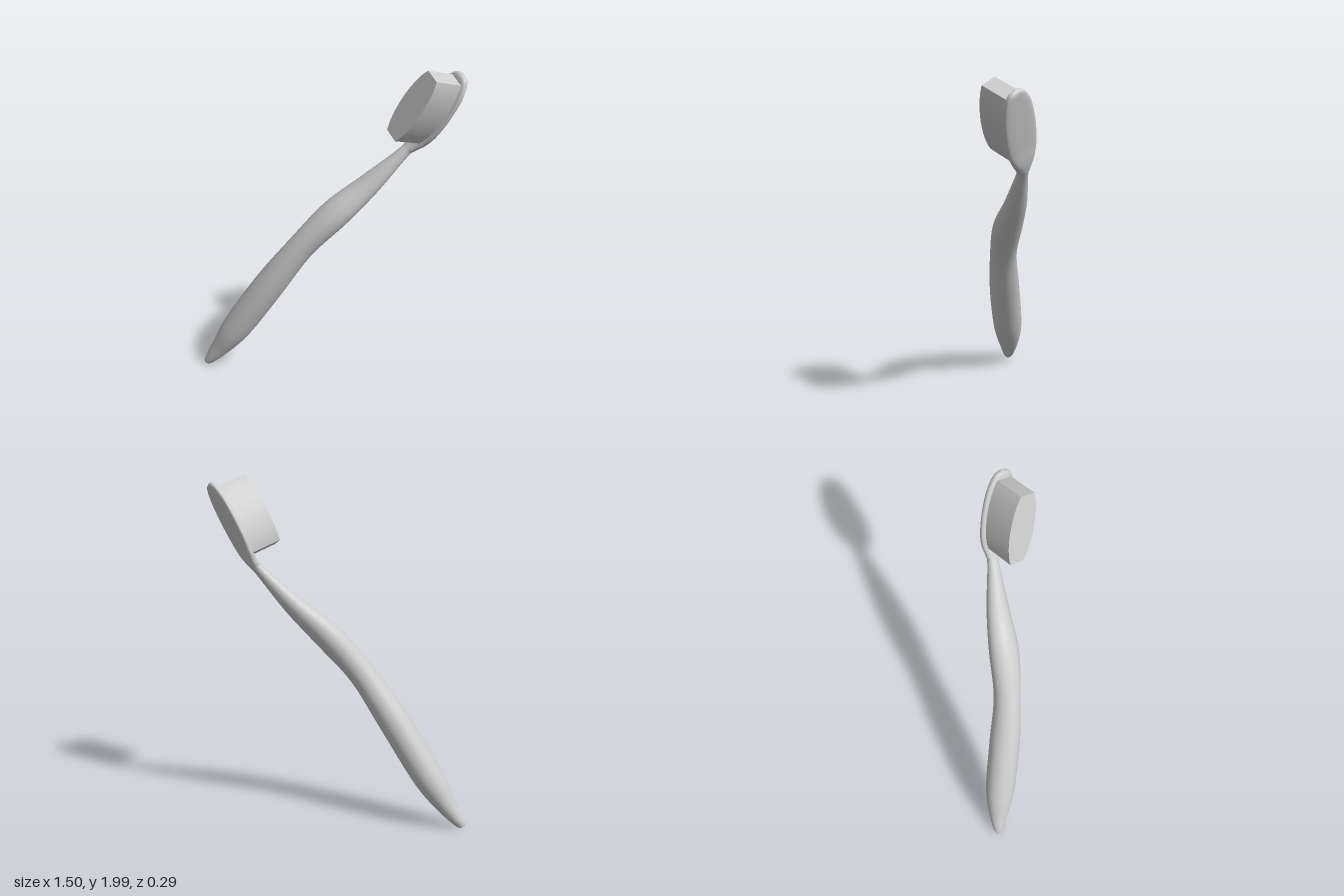
import * as THREE from 'three';
import { ParametricGeometry } from 'three/addons/geometries/ParametricGeometry.js';
import { toCreasedNormals } from 'three/addons/utils/BufferGeometryUtils.js';

// Local frame: x runs along the head, y points to the bristle tips, z is across.
// Stations of the body: [along, offset, half width, half thickness, squareness]
const STATIONS = [
  [-2.14, 0.391, 0.001, 0.001, 1],
  [-2.135, 0.39, 0.025, 0.025, 1],
  [-2.0, 0.366, 0.057, 0.057, 1],
  [-1.794, 0.346, 0.087, 0.087, 1],
  [-1.425, 0.319, 0.09, 0.09, 1],
  [-1.1, 0.28, 0.077, 0.08, 1],
  [-0.806, 0.197, 0.088, 0.083, 1],
  [-0.575, 0.104, 0.067, 0.061, 1],
  [-0.325, 0.02, 0.035, 0.032, 1],
  [-0.265, 0.0, 0.044, 0.026, 0.85],
  [-0.2, -0.01, 0.072, 0.022, 0.7],
  [-0.12, -0.01, 0.094, 0.02, 0.6],
  [0, -0.01, 0.103, 0.02, 0.6],
  [0.12, -0.01, 0.094, 0.02, 0.6],
  [0.19, -0.01, 0.073, 0.02, 0.6],
  [0.235, -0.01, 0.043, 0.018, 0.7],
  [0.252, -0.01, 0.001, 0.001, 1],
];

// Handle, neck and head plate as one smooth loft of rounded sections
function bodyGeometry() {
  const curve = (pick) =>
    new THREE.CatmullRomCurve3(STATIONS.map((s) => new THREE.Vector3(...pick(s))), false, 'catmullrom', 0.5);
  const spine = curve((s) => [s[0], s[1], s[4]]);
  const size = curve((s) => [s[2], s[3], 0]);
  const c = new THREE.Vector3();
  const r = new THREE.Vector3();
  const power = (v, p) => Math.sign(v) * Math.pow(Math.abs(v), p);
  return new ParametricGeometry((u, v, target) => {
    const angle = u * Math.PI * 2;
    spine.getPoint(v, c);
    size.getPoint(v, r);
    target.set(
      c.x,
      c.y + Math.max(r.y, 0.001) * power(Math.cos(angle), c.z),
      Math.max(r.x, 0.001) * power(Math.sin(angle), c.z)
    );
  }, 40, 128);
}

// Bristle block: an oval with flat ends, extruded towards the tips
function bristleGeometry() {
  const L = 0.208, W = 0.085, end = 0.045;
  const shape = new THREE.Shape();
  shape.moveTo(-L, -end);
  shape.bezierCurveTo(-L * 0.5, -W * 1.14, L * 0.5, -W * 1.14, L, -end);
  shape.lineTo(L, end);
  shape.bezierCurveTo(L * 0.5, W * 1.14, -L * 0.5, W * 1.14, -L, end);
  shape.closePath();
  const geometry = new THREE.ExtrudeGeometry(shape, { depth: 0.19, bevelEnabled: false, curveSegments: 20 });
  geometry.rotateX(-Math.PI / 2);
  return toCreasedNormals(geometry, 0.5);
}

export function createModel() {
  const material = new THREE.MeshStandardMaterial({ color: 0xcccccc });
  const brush = new THREE.Group();
  brush.name = 'brush';
  const add = (name, geometry) => {
    const mesh = new THREE.Mesh(geometry, material);
    mesh.name = name;
    brush.add(mesh);
  };
  add('handleAndHead', bodyGeometry());
  add('bristles', bristleGeometry());

  // Lean the brush: head direction, bristle direction and their cross product
  const along = new THREE.Vector3(0.5, 0.86, 0.1).normalize();
  const across = along.clone().cross(new THREE.Vector3(-0.66, 0.31, 0.68)).normalize();
  const up = across.clone().cross(along);
  brush.quaternion.setFromRotationMatrix(new THREE.Matrix4().makeBasis(along, up, across));
  brush.position.set(0.602, 1.741, -0.056);

  const model = new THREE.Group();
  model.name = 'leaningBrush';
  model.add(brush);

  // Stand on the ground, centred
  const box = new THREE.Box3().setFromObject(model, true);
  const mid = box.getCenter(new THREE.Vector3());
  brush.position.sub(new THREE.Vector3(mid.x, box.min.y, mid.z));
  return model;
}
